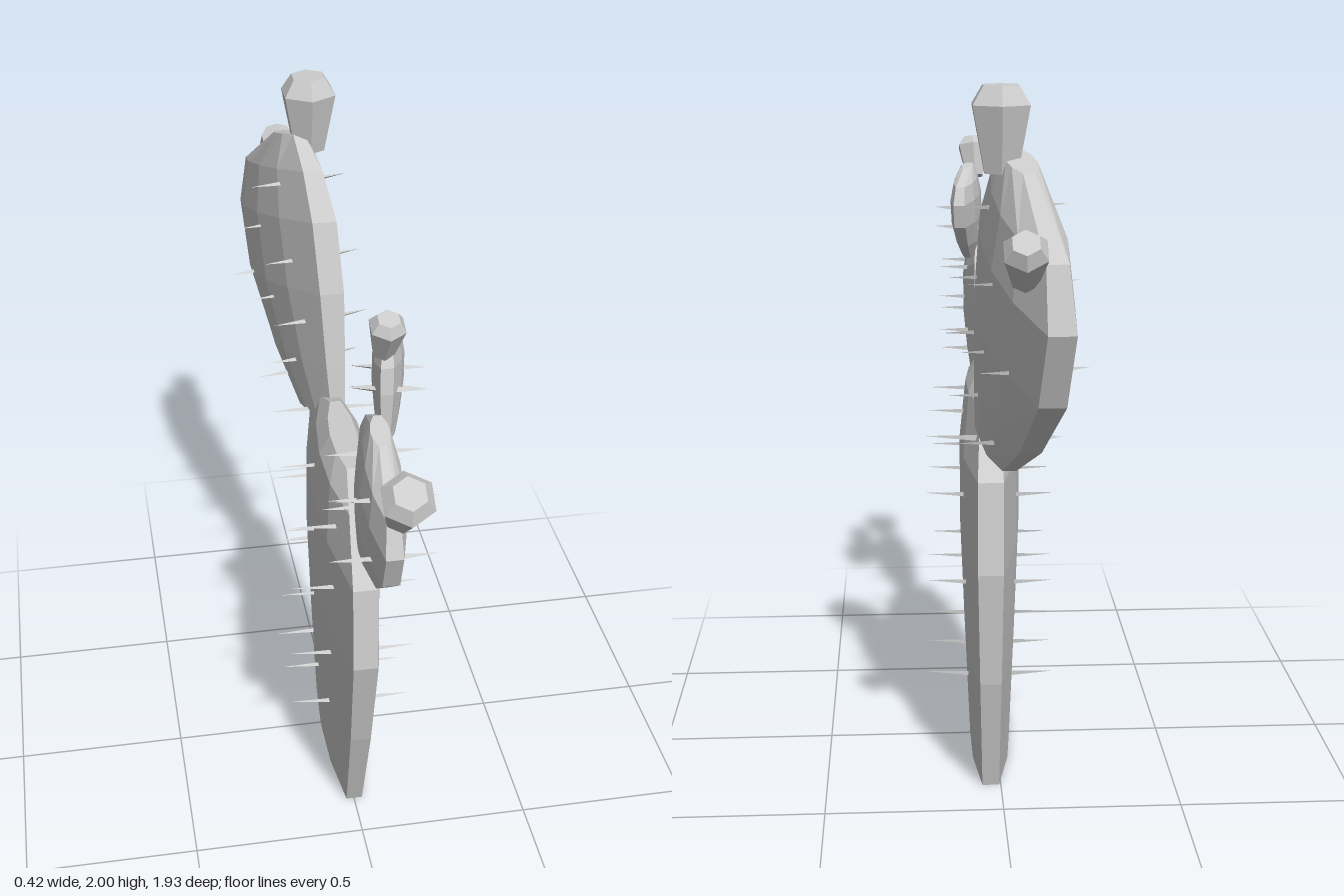
import * as THREE from 'three';

const material = new THREE.MeshStandardMaterial({ color: 0xcccccc, flatShading: true });
const UP = new THREE.Vector3(0, 1, 0);

// Pad profiles: [position along axis, half width, thickness, sideways shift], in shares of the pad's size
const trunkProfile = [
  [0, 0.69, 0.68, 0], [0.3, 0.885, 0.85, 0.04], [0.59, 1, 1, 0.09],
  [0.81, 0.945, 1, 0.1], [0.95, 0.62, 0.8, 0.17], [1, 0.35, 0.45, 0.165],
];
const leafProfile = [
  [0, 0.43, 0.55, 0], [0.2, 0.72, 0.8, 0.2], [0.46, 0.97, 1, 0.34],
  [0.71, 1, 1, 0.36], [0.88, 0.79, 0.8, 0.3], [1, 0.23, 0.45, 0],
];
// Thickness across a pad, from rim to rim
const section = [0.4, 0.86, 1, 0.86, 0.4];

// Flat pad lofted along its axis from base to tip, both [z, y]; its mid-plane is x = lean(z)
function padGeometry({ base, tip, halfWidth, thickness, profile, lean }) {
  const dz = tip[0] - base[0], dy = tip[1] - base[1];
  const length = Math.hypot(dz, dy);
  const side = dz < 0 ? 1 : -1;
  const n = section.length * 2;
  const pos = [], idx = [];
  for (const [t, w, thick, shift] of profile) {
    for (let j = 0; j < n; j++) {
      const left = j < 5;
      const k = left ? j : n - 1 - j;
      const across = halfWidth * (w * (k / 2 - 1) + side * shift) / length;
      const z = base[0] + dz * t - dy * across;
      const y = base[1] + dy * t + dz * across;
      pos.push(lean(z) + (left ? 1 : -1) * thickness * thick * section[k], y, z);
    }
  }
  const last = (profile.length - 1) * n;
  for (let i = 0; i < last; i += n) {
    for (let j = 0; j < n; j++) {
      const k = (j + 1) % n;
      idx.push(i + j, i + k, i + n + k, i + j, i + n + k, i + n + j);
    }
  }
  // Flat caps at both ends
  for (let j = 1; j < n - 1; j++) idx.push(0, j + 1, j, last, last + j, last + j + 1);
  const indexed = new THREE.BufferGeometry();
  indexed.setAttribute('position', new THREE.Float32BufferAttribute(pos, 3));
  indexed.setIndex(idx);
  const flat = indexed.toNonIndexed();
  flat.computeVertexNormals();
  return flat;
}

// Thin three-sided spines on both faces, in rows [z, y, step z, step y, count]
function addSpines(group, { spineRows, reach, lean }) {
  const slope = lean(1) - lean(0);
  const geometry = new THREE.ConeGeometry(0.012, reach, 3).translate(0, reach / 2, 0);
  for (const [z0, y0, stepZ, stepY, count] of spineRows) {
    for (let i = 0; i < count; i++) {
      const z = z0 + i * stepZ;
      for (const s of [1, -1]) {
        const spine = new THREE.Mesh(geometry, material);
        spine.name = 'spine';
        spine.position.set(lean(z), y0 + i * stepY, z);
        const direction = new THREE.Vector3(s, 0.02, -s * slope + 0.05 * (i - 1));
        spine.quaternion.setFromUnitVectors(UP, direction.normalize());
        group.add(spine);
      }
    }
  }
}

function makePad(name, options) {
  const group = new THREE.Group();
  group.name = name;
  const body = new THREE.Mesh(padGeometry(options), material);
  body.name = name + 'Body';
  group.add(body);
  addSpines(group, options);
  return group;
}

// Six-sided fruit widening towards a bevelled crown
function makeFruit(from, to, r) {
  const start = new THREE.Vector3(...from);
  const axis = new THREE.Vector3(...to).sub(start);
  const h = axis.length();
  const outline = [[0, 0], [0.58 * r, 0], [r, 0.78 * h], [0.62 * r, h], [0, h]];
  const geometry = new THREE.LatheGeometry(outline.map(p => new THREE.Vector2(...p)), 6);
  const fruit = new THREE.Mesh(geometry, material);
  fruit.name = 'fruit';
  fruit.position.copy(start);
  fruit.quaternion.setFromUnitVectors(UP, axis.normalize());
  return fruit;
}

export function createModel() {
  const model = new THREE.Group();
  model.name = 'cactus';
  model.add(
    makePad('mainPad', {
      base: [0.005, 0], tip: [0.005, 1.155], halfWidth: 0.515, thickness: 0.088,
      profile: trunkProfile, lean: z => 0.015 - 0.04 * z, reach: 0.185,
      spineRows: [
        [0.25, 0.3, -0.2, -0.02, 3], [0.32, 0.545, -0.272, 0.015, 3],
        [0.37, 0.82, -0.285, 0.005, 3], [0.345, 1.01, -0.312, 0.005, 3],
      ],
    }),
    makePad('largeUpperPad', {
      base: [-0.295, 1.015], tip: [-0.545, 1.815], halfWidth: 0.343, thickness: 0.088,
      profile: leafProfile, lean: z => 0.07 + 0.2 * z, reach: 0.15,
      spineRows: [
        [-0.345, 1.165, -0.11, -0.105, 2], [-0.285, 1.325, -0.202, -0.01, 3],
        [-0.36, 1.49, -0.22, 0.02, 2], [-0.465, 1.69, 0, 0, 1],
      ],
    }),
    makePad('mediumUpperPad', {
      base: [0.465, 1.02], tip: [0.605, 1.48], halfWidth: 0.222, thickness: 0.057,
      profile: leafProfile, lean: z => 0.03 - 0.03 * z, reach: 0.135,
      spineRows: [
        [0.745, 1.185, -0.145, -0.105, 2], [0.58, 1.255, -0.1, -0.09, 2],
        [0.725, 1.35, -0.205, 0.01, 2],
      ],
    }),
    makePad('smallTopPad', {
      base: [0.503, 1.41], tip: [0.457, 1.69], halfWidth: 0.117, thickness: 0.042,
      profile: leafProfile, lean: z => 0.16 - 0.22 * z, reach: 0.1,
      spineRows: [[0.52, 1.545, 0, 0, 1], [0.435, 1.56, 0, -0.06, 2]],
    }),
    makeFruit([0.01, 1.78, -0.5], [0.01, 2, -0.5], 0.084),
    makeFruit([-0.03, 1.56, -0.82], [-0.025, 1.67, -0.935], 0.06),
    makeFruit([0.02, 1.37, 0.83], [0.02, 1.505, 0.93], 0.072),
    makeFruit([0.035, 1.65, 0.51], [0.04, 1.765, 0.552], 0.05),
  );
  return model;
}
